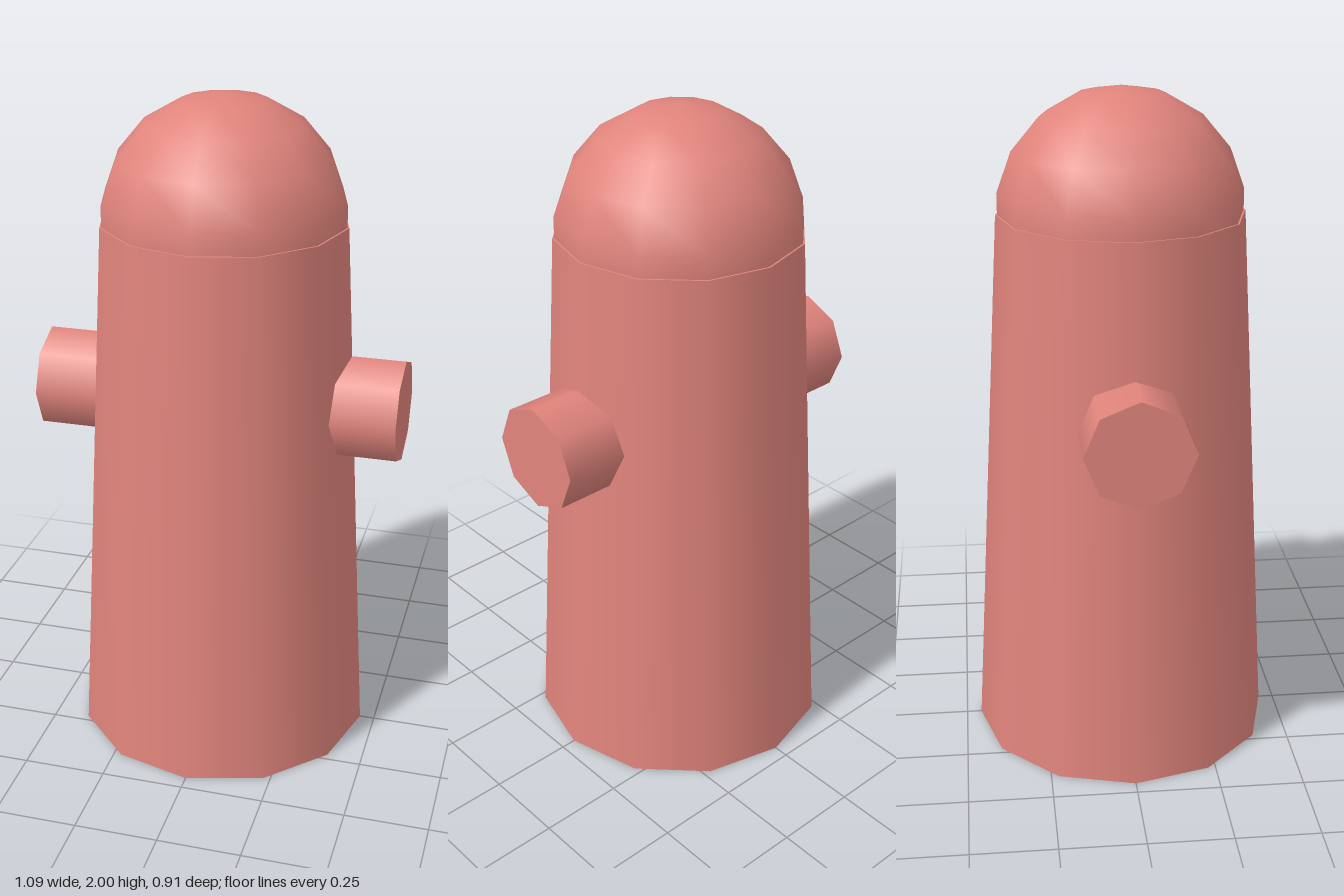
import * as THREE from 'three';

export function createModel() {
  const model = new THREE.Group();
  model.name = 'hydrant';

  const coral = new THREE.MeshStandardMaterial({ color: 0xe0847c });
  coral.name = 'coral red';

  const add = (name, geometry, x, y) => {
    const mesh = new THREE.Mesh(geometry, coral);
    mesh.name = name;
    mesh.position.set(x, y, 0);
    model.add(mesh);
    return mesh;
  };

  // Tapered twelve-sided barrel
  const bodyHeight = 1.636;
  const topRadius = 0.364;
  add('body', new THREE.CylinderGeometry(topRadius, 0.455, bodyHeight, 12), 0, bodyHeight / 2);

  // Rounded cap, its lower half sunk into the barrel
  add('dome', new THREE.SphereGeometry(topRadius, 12, 9), 0, bodyHeight);

  // Eight-sided outlets, one on each side
  const innerX = 0.2, outerX = 0.545;
  for (const side of [1, -1]) {
    const outlet = add(
      side > 0 ? 'leftOutlet' : 'rightOutlet',
      new THREE.CylinderGeometry(0.157, 0.157, outerX - innerX, 8),
      side * (innerX + outerX) / 2, 1.093
    );
    outlet.rotation.z = -side * Math.PI / 2;
  }

  return model;
}
